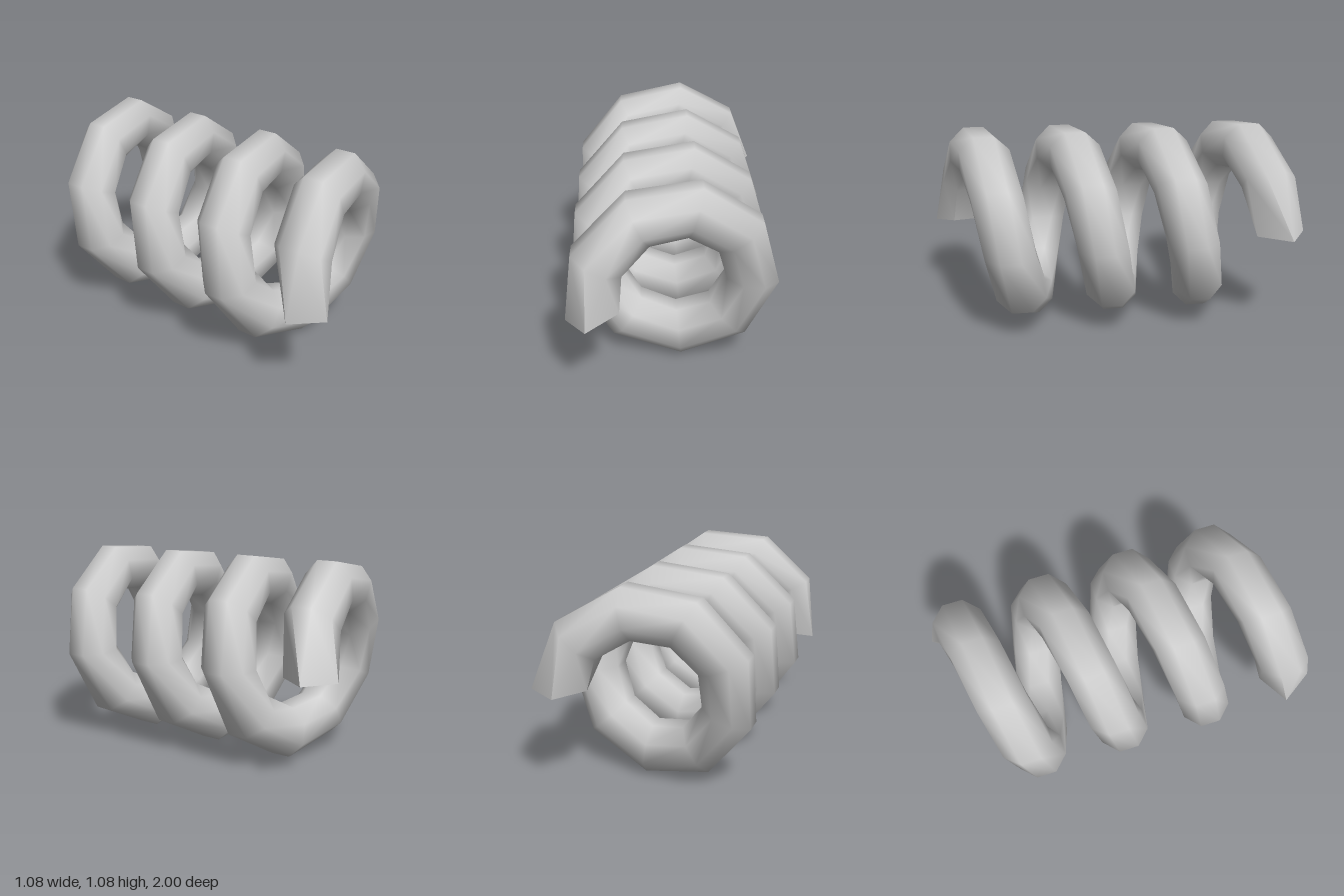
import * as THREE from 'three';

const SEGMENTS = 32, SIDES = 8;
const COIL_RADIUS = 0.412, TUBE_RADIUS = 0.145;
const CENTRE_Y = 0.547, HALF_LENGTH = 0.863;
const START = THREE.MathUtils.degToRad(194);
const SWEEP = THREE.MathUtils.degToRad(1274);

// one cross-section, lying in the plane through the coil axis
function section(i) {
  const t = i / SEGMENTS;
  const a = START - SWEEP * t;
  const isEnd = i === 0 || i === SEGMENTS;
  const points = [];
  for (let j = 0; j < SIDES; j++) {
    // the two end sections narrow to four corners
    const phi = isEnd
      ? Math.floor(j / 2) * Math.PI / 2 - 0.2
      : (j - 0.5) * 2 * Math.PI / SIDES;
    const rad = isEnd ? 0.141 : TUBE_RADIUS;
    const r = COIL_RADIUS + rad * Math.cos(phi);
    const z = HALF_LENGTH * (1 - 2 * t) + rad * Math.sin(phi);
    points.push(new THREE.Vector3(r * Math.cos(a), CENTRE_Y + r * Math.sin(a), z));
  }
  return points;
}

function coilGeometry() {
  const points = [], index = [];
  for (let i = 0; i <= SEGMENTS; i++) points.push(...section(i));
  for (let i = 0; i < SEGMENTS; i++) {
    for (let j = 0; j < SIDES; j++) {
      const a = i * SIDES + j, b = i * SIDES + (j + 1) % SIDES;
      const c = a + SIDES, d = b + SIDES;
      index.push(a, b, c, b, d, c);
    }
  }
  const geometry = new THREE.BufferGeometry().setFromPoints(points);
  geometry.setIndex(index);
  geometry.computeVertexNormals();
  return geometry;
}

// flat four-cornered end face
function capGeometry(i) {
  const corners = section(i).filter((p, j) => j % 2 === 0);
  if (i === 0) corners.reverse();
  const geometry = new THREE.BufferGeometry().setFromPoints(corners);
  geometry.setIndex([0, 1, 2, 0, 2, 3]);
  geometry.computeVertexNormals();
  return geometry;
}

export function createModel() {
  const group = new THREE.Group();
  group.name = 'coilSpring';
  const material = new THREE.MeshStandardMaterial({ color: 0xcccccc });
  const add = (name, geometry) => {
    const mesh = new THREE.Mesh(geometry, material);
    mesh.name = name;
    group.add(mesh);
  };
  add('coil', coilGeometry());
  add('frontEnd', capGeometry(0));
  add('backEnd', capGeometry(SEGMENTS));
  return group;
}
